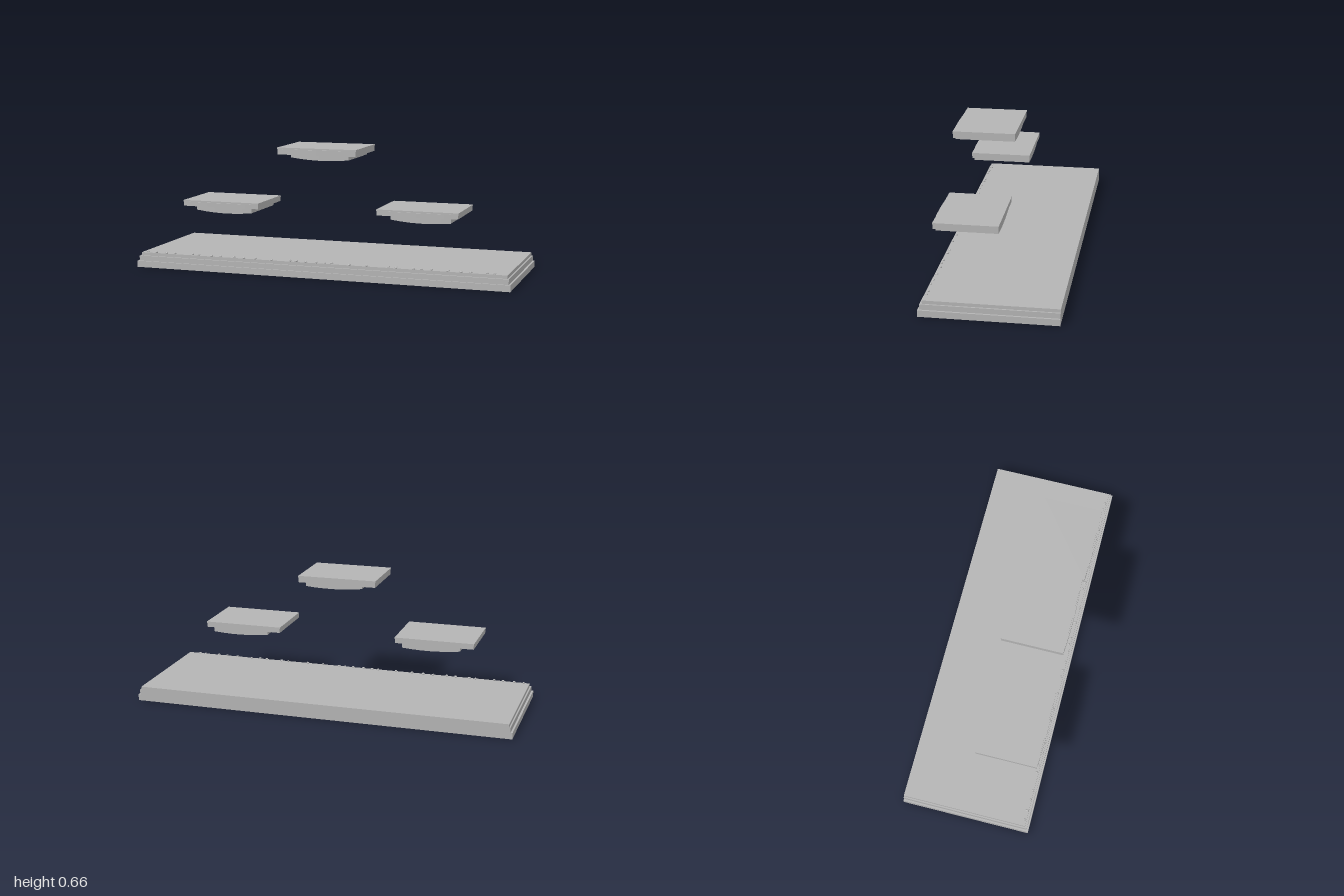
import * as THREE from 'three';

export function createModel() {
  const model = new THREE.Group();
  const stone = new THREE.MeshStandardMaterial({ color: 0xb4b4b4, flatShading: true });
  stone.name = 'stone grey';

  const add = (parent, geometry, name) => {
    const mesh = new THREE.Mesh(geometry, stone);
    mesh.name = name;
    parent.add(mesh);
    return mesh;
  };

  // Box given by its limits; the front can bulge and the underside can sag
  const slab = (x0, x1, y0, y1, z0, z1, bulge = 0, sag = 0) => {
    const segments = bulge || sag ? 6 : 1;
    const g = new THREE.BoxGeometry(x1 - x0, y1 - y0, z1 - z0, segments, 1, 1);
    g.translate((x0 + x1) / 2, (y0 + y1) / 2, (z0 + z1) / 2);
    const p = g.attributes.position;
    for (let i = 0; i < p.count; i++) {
      const t = (2 * (p.getX(i) - x0)) / (x1 - x0) - 1;
      const arch = 1 - t * t;
      if (p.getZ(i) > (z0 + z1) / 2) p.setZ(i, p.getZ(i) + bulge * arch);
      if (p.getY(i) < (y0 + y1) / 2) p.setY(i, p.getY(i) - sag * (arch + 0.3 * t));
    }
    g.computeVertexNormals();
    return g;
  };

  // Ground: three layers stepping in at the front and the ends, flush at the back
  const base = new THREE.Group();
  base.name = 'steppedBase';
  model.add(base);
  add(base, slab(-1, 1, 0, 0.033, -0.337, 0.337), 'lowerLayer');
  add(base, slab(-0.99, 0.99, 0.033, 0.06, -0.337, 0.328), 'middleLayer');
  add(base, slab(-0.982, 0.982, 0.06, 0.077, -0.337, 0.317), 'topLayer');

  // Floating platforms: a thin cap, a bulging body and a sagging underside
  const platform = (x, top, body, name) => {
    const group = new THREE.Group();
    group.name = name;
    group.position.set(x, top, 0);
    add(group, slab(-0.21, 0.21, -0.008, 0, -0.008, 0.314), 'platformCap');
    add(group, slab(-0.208, 0.208, -body, -0.008, -0.006, 0.313, 0.008), 'platformBody');
    add(group, slab(-0.137, 0.17, -0.051, -body, 0, 0.307, 0.007, 0.009), 'platformUnderside');
    model.add(group);
  };
  platform(0, 0.66, 0.035, 'upperPlatform');
  platform(-0.525, 0.368, 0.03, 'rightPlatform');
  platform(0.525, 0.368, 0.03, 'leftPlatform');

  // Pebbles scattered along the front edge
  const pebbles = new THREE.Group();
  pebbles.name = 'pebbles';
  model.add(pebbles);
  const pebbleShape = new THREE.IcosahedronGeometry(1, 0);
  const positions = [
    -0.95, -0.9, -0.84, -0.79, -0.69, -0.655, -0.58, -0.53, -0.455, -0.4,
    -0.335, -0.245, -0.145, -0.11, -0.06, 0, 0.045, 0.08, 0.175, 0.265,
    0.38, 0.42, 0.51, 0.55, 0.6, 0.685, 0.75, 0.8, 0.88, 0.915
  ];
  positions.forEach((x, i) => {
    const size = 0.007 + 0.001 * ((i * 7) % 4);
    const pebble = add(pebbles, pebbleShape, 'pebble');
    pebble.position.set(x, 0.08, 0.306 + 0.002 * ((i * 5) % 4));
    pebble.scale.set(size, 0.006, size * 0.9);
    pebble.rotation.y = i * 1.3;
  });

  return model;
}
